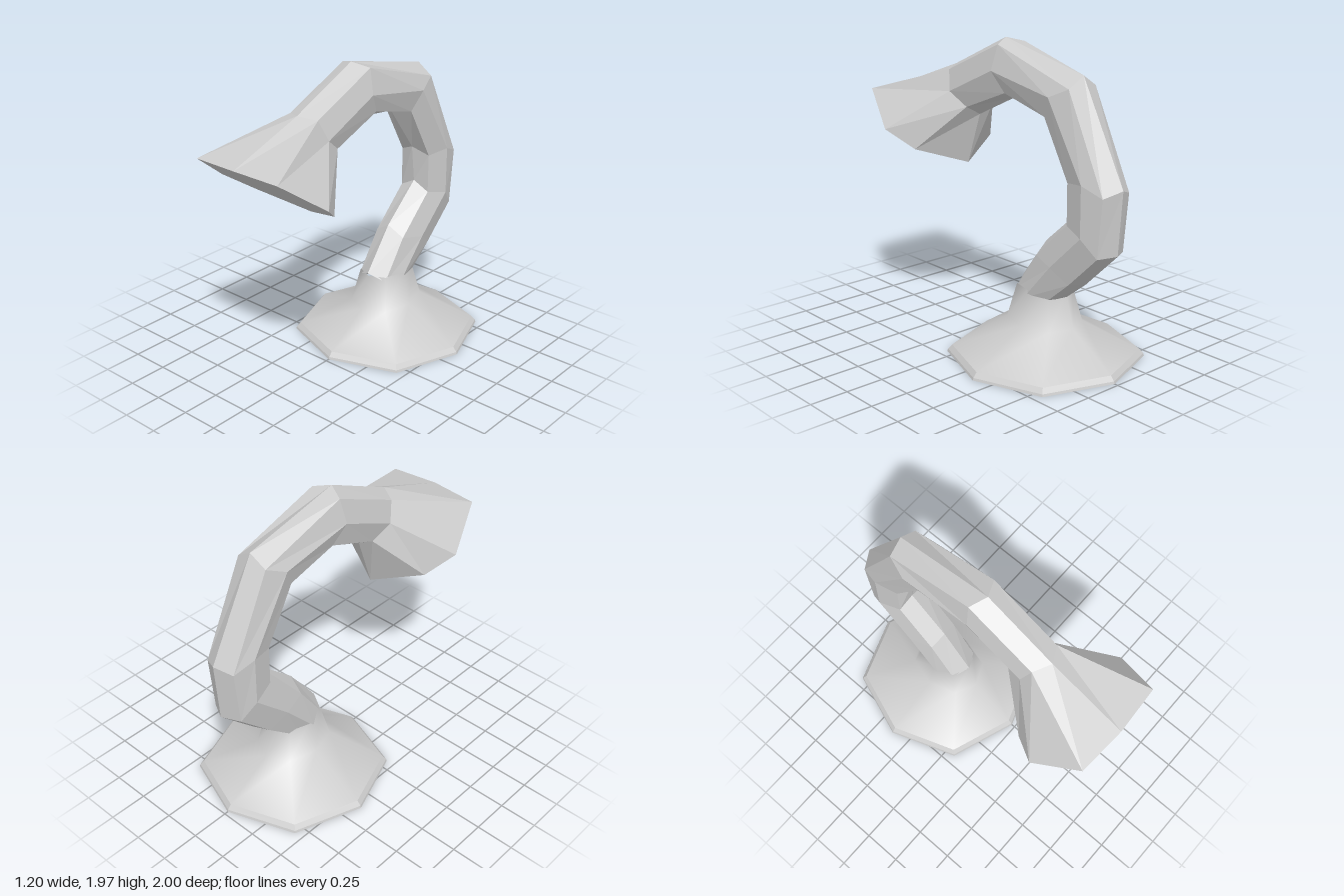
import * as THREE from 'three';

// Skin through closed rings of points; optional caps on the first and last ring.
function loft(rings, capStart, capEnd) {
  const n = rings[0].length, pos = [], idx = [];
  for (const ring of rings) for (const p of ring) pos.push(...p);
  for (let i = 0; i < rings.length - 1; i++) {
    for (let j = 0; j < n; j++) {
      const a = i * n + j, b = i * n + (j + 1) % n;
      idx.push(a, b, b + n, a, b + n, a + n);
    }
  }
  const cap = (ring, flip) => {
    const c = [0, 1, 2].map(k => ring.reduce((s, p) => s + p[k], 0) / n);
    const base = pos.length / 3;
    for (const p of ring) pos.push(...p);
    pos.push(...c);
    for (let j = 0; j < n; j++) {
      const a = base + j, b = base + (j + 1) % n;
      if (flip) idx.push(b, a, base + n);
      else idx.push(a, b, base + n);
    }
  };
  if (capStart) cap(rings[0], true);
  if (capEnd) cap(rings[rings.length - 1], false);
  const g = new THREE.BufferGeometry();
  g.setAttribute('position', new THREE.Float32BufferAttribute(pos, 3));
  g.setIndex(idx);
  g.computeVertexNormals();
  return g;
}

// Eight-sided horizontal ring with a corner on each axis.
function octagon(rx, rz, y, cz) {
  return Array.from({ length: 8 }, (_, i) => {
    const a = i * Math.PI / 4, k = i % 2 ? 1.04 : 1;
    return [k * rx * Math.sin(a), y, cz + k * rz * Math.cos(a)];
  });
}

// Mirrored ring from half a section: outer edge, outer corner, side, inner corner, inner edge (z, y).
function section(half, corner, side) {
  const w = [0, corner, side, corner, 0];
  const at = (i, s) => [s * w[i], half[i][1], half[i][0]];
  return [at(0, 1), at(1, -1), at(2, -1), at(3, -1), at(4, 1), at(3, 1), at(2, 1), at(1, 1)];
}

export function createModel() {
  const group = new THREE.Group();
  const flat = new THREE.MeshStandardMaterial({ color: 0xcccccc, flatShading: true });
  const smooth = new THREE.MeshStandardMaterial({ color: 0xcccccc });
  const add = (name, geometry, material) => {
    const mesh = new THREE.Mesh(geometry, material);
    mesh.name = name;
    group.add(mesh);
  };

  // Base: flat foot with a bevelled rim, and a smooth slope rising to the neck
  const rim = octagon(0.57, 0.57, 0.045, -0.375);
  add('baseRim', loft([octagon(0.6, 0.6, 0, -0.375), octagon(0.595, 0.595, 0.015, -0.375), rim], true, false), flat);
  add('baseSlope', loft([
    rim,
    octagon(0.2, 0.255, 0.24, -0.365),
    octagon(0.145, 0.19, 0.46, -0.365),
  ], false, false), smooth);

  // Curved arm sections, from the neck up and over to the head
  const arm = [
    [[-0.44, 0.34], [-0.42, 0.35], [-0.33, 0.4], [-0.22, 0.43], [-0.17, 0.48]],
    [[-0.72, 0.56], [-0.68, 0.57], [-0.56, 0.66], [-0.4, 0.69], [-0.38, 0.76]],
    [[-0.97, 0.8], [-0.91, 0.79], [-0.81, 0.9], [-0.66, 0.94], [-0.65, 1.0]],
    [[-1, 1.2], [-0.945, 1.16], [-0.81, 1.22], [-0.66, 1.2], [-0.62, 1.25]],
    [[-0.67, 1.82], [-0.66, 1.75], [-0.53, 1.69], [-0.46, 1.56], [-0.39, 1.56]],
    [[0, 1.97], [-0.05, 1.94], [-0.03, 1.78], [-0.11, 1.65], [-0.07, 1.6]],
    [[0.48, 1.75], [0.42, 1.73], [0.37, 1.6], [0.25, 1.51], [0.25, 1.45]],
  ].map(half => section(half, 0.11, 0.15));
  add('arm', loft(arm, true, false), flat);

  // Flared head, closed by a flat face
  const mouth = section([[1, 1.565], [0.98, 1.555], [0.69, 1.34], [0.52, 1.22], [0.37, 1.11]], 0.32, 0.43);
  add('head', loft([arm[arm.length - 1], mouth], false, true), flat);

  return group;
}
